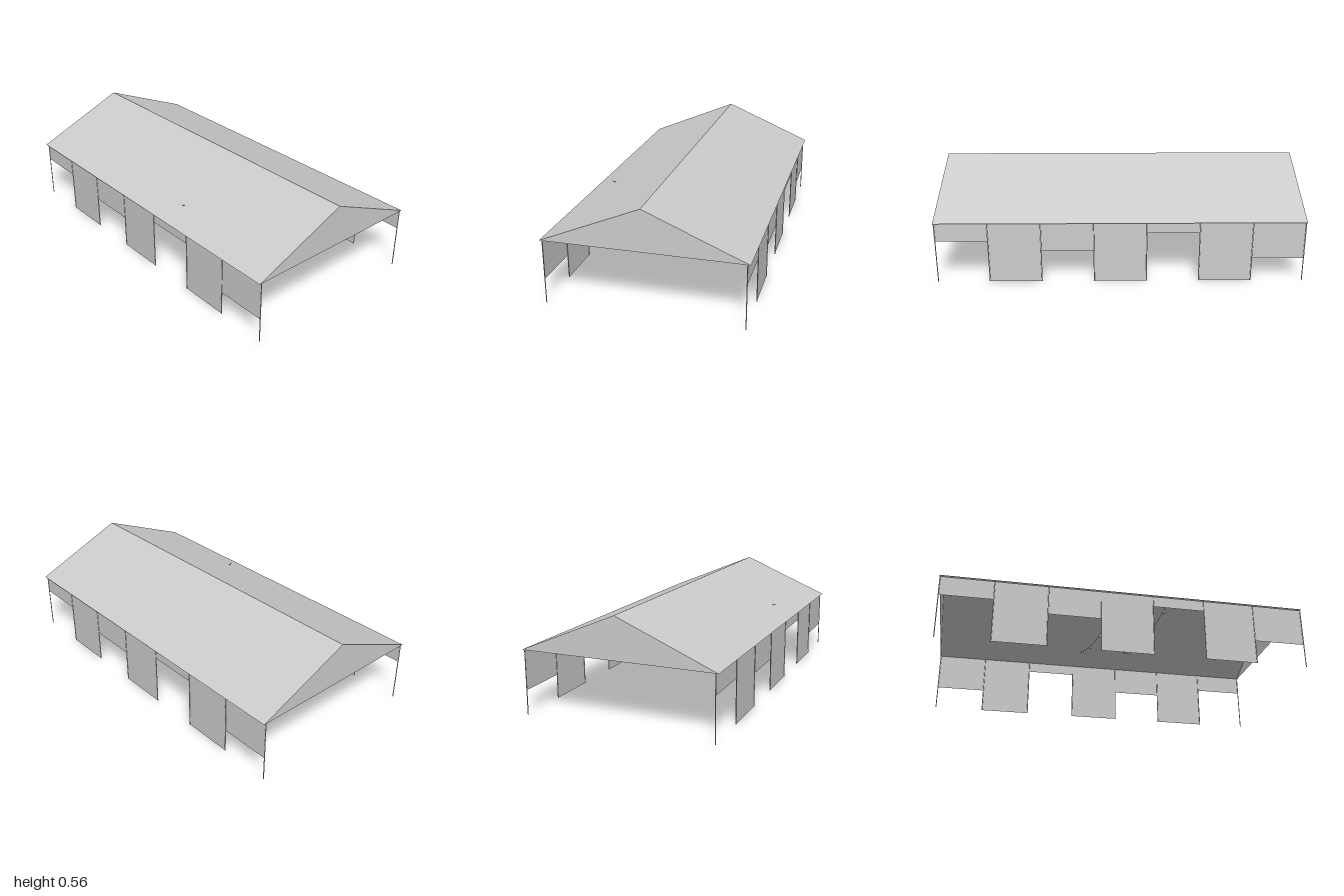
import * as THREE from 'three';

const HALF_LENGTH = 0.98, HALF_DEPTH = 0.523, WALL_Z = 0.508;
const EAVE = 0.34, RIDGE = 0.56, SKEW = -0.038;
const PANEL_BOTTOMS = [0.235, 0, 0.18, 0, 0.28, 0, 0.13];

const solid = new THREE.MeshStandardMaterial({ color: 0xcccccc });
const sheet = new THREE.MeshStandardMaterial({ color: 0xcccccc, side: THREE.DoubleSide });

function add(parent, name, geometry, material, x = 0, y = 0, z = 0) {
  const mesh = new THREE.Mesh(geometry, material);
  mesh.name = name;
  mesh.position.set(x, y, z);
  parent.add(mesh);
  return mesh;
}

// One roof slope, one gable and one long side; the other half is the same turned round
function createHalf() {
  const half = new THREE.Group();
  const rise = RIDGE - EAVE;

  const slope = add(half, 'roofSlope',
    new THREE.PlaneGeometry(2 * HALF_LENGTH, Math.hypot(HALF_DEPTH, rise)),
    sheet, 0, (EAVE + RIDGE) / 2, HALF_DEPTH / 2);
  slope.rotation.x = -Math.atan2(HALF_DEPTH, rise);

  const triangle = new THREE.Shape([
    new THREE.Vector2(-HALF_DEPTH, EAVE),
    new THREE.Vector2(HALF_DEPTH, EAVE),
    new THREE.Vector2(0, RIDGE),
  ]);
  const gable = add(half, 'gable', new THREE.ShapeGeometry(triangle), sheet, HALF_LENGTH);
  gable.rotation.y = Math.PI / 2;

  // Hanging side panels of differing drop, with thin posts at the joints
  const width = 2 * HALF_LENGTH / PANEL_BOTTOMS.length;
  PANEL_BOTTOMS.forEach((bottom, i) => {
    add(half, 'sidePanel', new THREE.PlaneGeometry(width, EAVE - bottom), sheet,
      -HALF_LENGTH + (i + 0.5) * width, (EAVE + bottom) / 2, WALL_Z);
  });
  const postGeometry = new THREE.CylinderGeometry(0.0025, 0.0025, EAVE, 8);
  for (let i = 0; i <= PANEL_BOTTOMS.length; i++) {
    const x = THREE.MathUtils.clamp(-HALF_LENGTH + i * width, -0.977, 0.977);
    add(half, 'post', postGeometry, solid, x, EAVE / 2, WALL_Z);
  }
  return half;
}

// Sagging cord between the slopes with hanging bulbs
function createLightString(xFront, xBack, dip, zFront, zBack, bulbZs) {
  const string = new THREE.Group();
  const pointAt = (z) => {
    const t = (zFront - z) / (zFront - zBack);
    return new THREE.Vector3(xFront + (xBack - xFront) * t, dip + 0.44 * (z - 0.015) ** 2, z);
  };
  const points = [];
  for (let i = 0; i <= 12; i++) points.push(pointAt(zFront + (zBack - zFront) * i / 12));
  add(string, 'cord',
    new THREE.TubeGeometry(new THREE.CatmullRomCurve3(points), 36, 0.0015, 6), solid);

  const profile = [[0, -0.021], [0.005, -0.02], [0.0085, -0.014], [0.007, -0.009],
    [0.0035, -0.005], [0.003, 0], [0, 0.001]].map(([r, y]) => new THREE.Vector2(r, y));
  const bulbGeometry = new THREE.LatheGeometry(profile, 12);
  for (const z of bulbZs) {
    const p = pointAt(z);
    add(string, 'bulb', bulbGeometry, solid, p.x, p.y, p.z);
  }
  return string;
}

export function createModel() {
  const model = new THREE.Group();
  model.name = 'marquee';

  const front = createHalf();
  front.name = 'frontHalf';
  const back = createHalf();
  back.name = 'backHalf';
  back.rotation.y = Math.PI;

  const rightString = createLightString(0.266, 0.166, 0.333, 0.41, -0.37,
    [0.31, 0.165, 0.02, -0.132, -0.27]);
  rightString.name = 'lightStringOne';
  const leftString = createLightString(-0.02, -0.11, 0.317, 0.4, -0.37,
    [0.31, 0.157, 0.046, -0.147, -0.28]);
  leftString.name = 'lightStringTwo';

  // The whole tent stands slightly turned
  const tent = new THREE.Group();
  tent.name = 'tent';
  tent.rotation.y = SKEW;
  tent.add(front, back, rightString, leftString);
  model.add(tent);
  return model;
}
